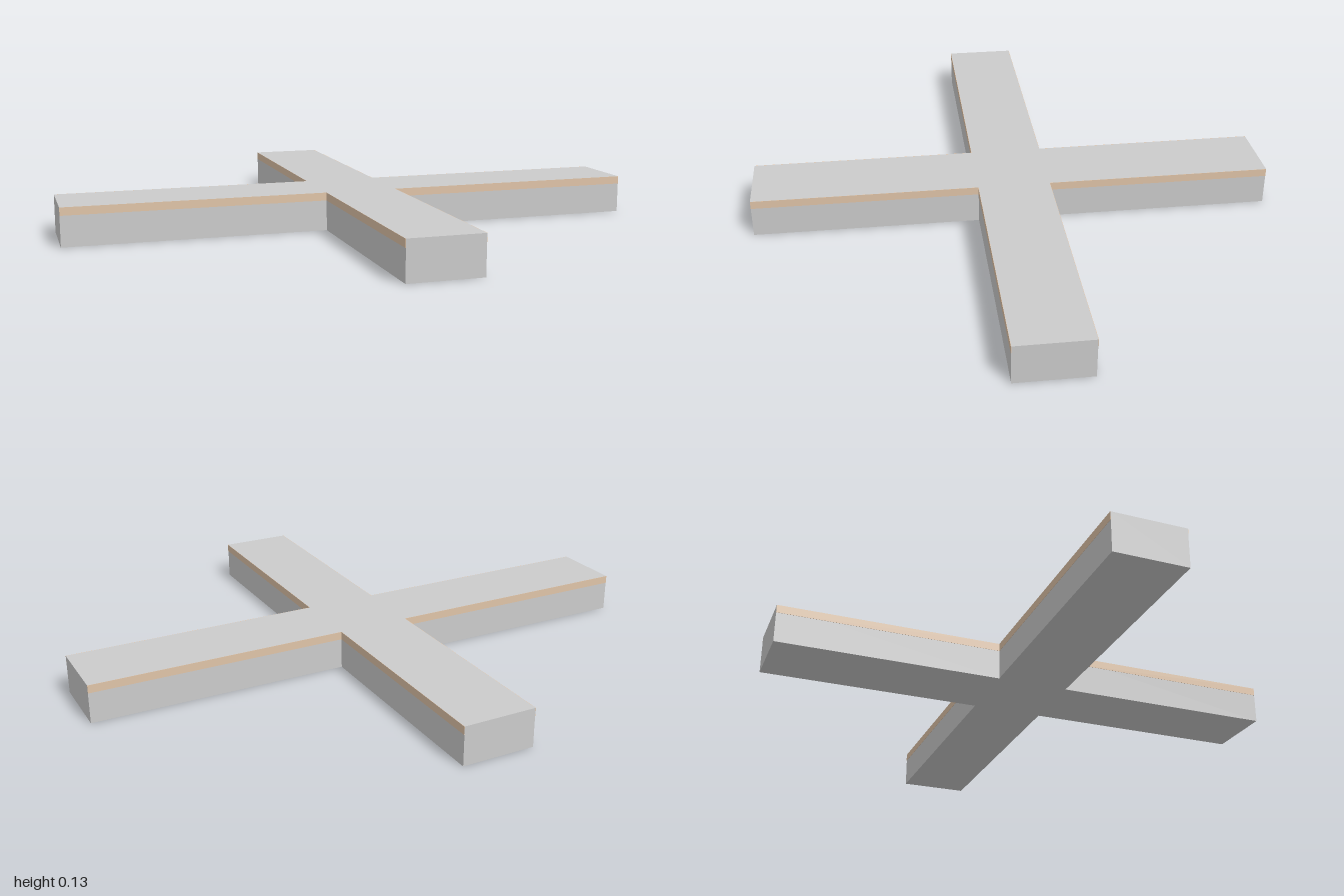
import * as THREE from 'three';

// Overall extents of the cross
const X0 = -0.118, X1 = 0.128;   // sides of the front and back arms
const Z = 0.122;                 // half width of the left and right arms
const LX = 1, LZ = 0.885;        // arm reach
const H = 0.13, BAND = 0.027;    // body height, band height
const PROUD = 0.001;             // band thickness over the wall

export function createModel() {
  const group = new THREE.Group();
  const grey = new THREE.MeshStandardMaterial({ color: 0xcccccc, flatShading: true });
  const tan = new THREE.MeshStandardMaterial({ color: 0xe0c4a8, flatShading: true });

  // Cross-shaped body, extruded upwards
  const outline = [
    [X0, -LZ], [X1, -LZ], [X1, -Z], [LX, -Z], [LX, Z], [X1, Z],
    [X1, LZ], [X0, LZ], [X0, Z], [-LX, Z], [-LX, -Z], [X0, -Z],
  ].map(([x, z]) => new THREE.Vector2(x, z));
  const bodyGeometry = new THREE.ExtrudeGeometry(new THREE.Shape(outline), { depth: H, bevelEnabled: false });
  bodyGeometry.rotateX(-Math.PI / 2);
  const body = new THREE.Mesh(bodyGeometry, grey);
  body.name = 'crossBody';
  group.add(body);

  // Coloured band along the top of each long wall; arm ends stay plain
  const addBand = (name, width, depth, x, z) => {
    const band = new THREE.Mesh(new THREE.BoxGeometry(width, BAND, depth), tan);
    band.name = name;
    band.position.set(x, H - BAND / 2, z);
    group.add(band);
  };
  for (const s of [-1, 1]) {
    const side = s > 0 ? 'left' : 'right';
    const inner = s > 0 ? X1 : X0;
    const lengthX = LX - Math.abs(inner);
    for (const t of [-1, 1]) {
      const end = t > 0 ? 'Front' : 'Back';
      addBand(`${side}Arm${end}Band`, lengthX, PROUD, (s * LX + inner) / 2, t * (Z + PROUD / 2));
      addBand(`${side}Side${end}ArmBand`, PROUD, LZ - Z, inner + s * PROUD / 2, t * (LZ + Z) / 2);
    }
  }
  return group;
}
